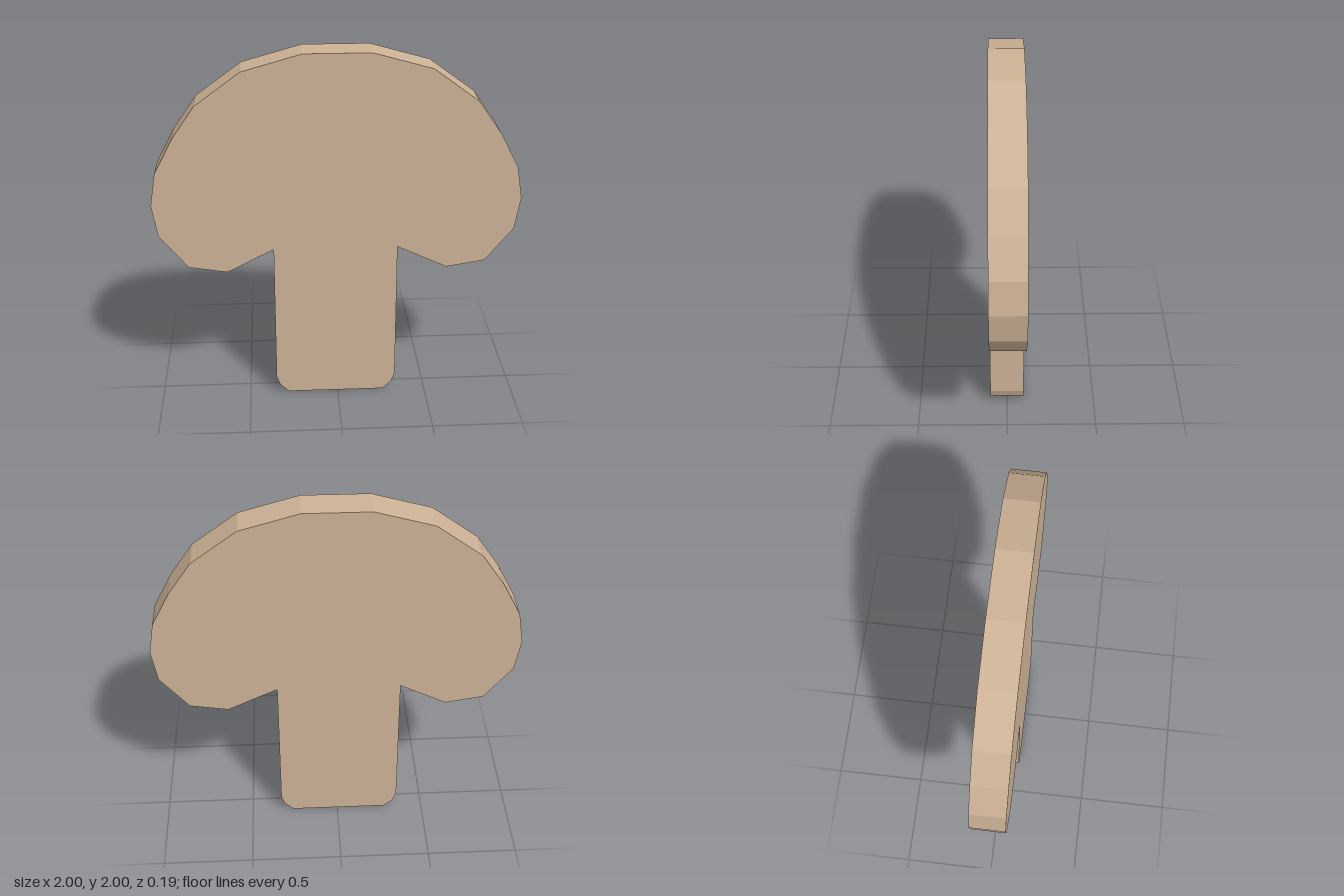
import * as THREE from 'three';

const DEPTH = 0.19;

// Right half of the faceted cap, from the crown down to the under-lip
const capHalf = [
  [0.18, 2], [0.5, 1.91], [0.745, 1.73], [0.87, 1.55], [0.97, 1.36],
  [1, 1.18], [0.97, 1], [0.815, 0.81], [0.605, 0.775],
];

// Stem side from the cap to the chamfered foot, as offsets inward from the stem edge
const stemSide = [[0, 0.905], [0, 0.1], [0.02, 0.045], [0.07, 0]];
const STEM_LEFT = 0.33;
const STEM_RIGHT = -0.35;

export function createModel() {
  const group = new THREE.Group();
  group.name = 'mushroomCutout';

  // Closed outline, clockwise from the crown
  const outline = [
    ...capHalf,
    ...stemSide.map(([d, y]) => [STEM_LEFT - d, y]),
    ...stemSide.map(([d, y]) => [STEM_RIGHT + d, y]).reverse(),
    ...capHalf.map(([x, y]) => [-x, y]).reverse(),
  ].map(([x, y]) => new THREE.Vector2(x, y));

  // One flat slab forms cap and stem
  const geometry = new THREE.ExtrudeGeometry(new THREE.Shape(outline), {
    depth: DEPTH,
    bevelEnabled: false,
  });
  geometry.translate(0, 0, -DEPTH / 2);

  const material = new THREE.MeshStandardMaterial({ color: 0xcdb296, flatShading: true });
  const slab = new THREE.Mesh(geometry, material);
  slab.name = 'capAndStem';
  group.add(slab);
  return group;
}
